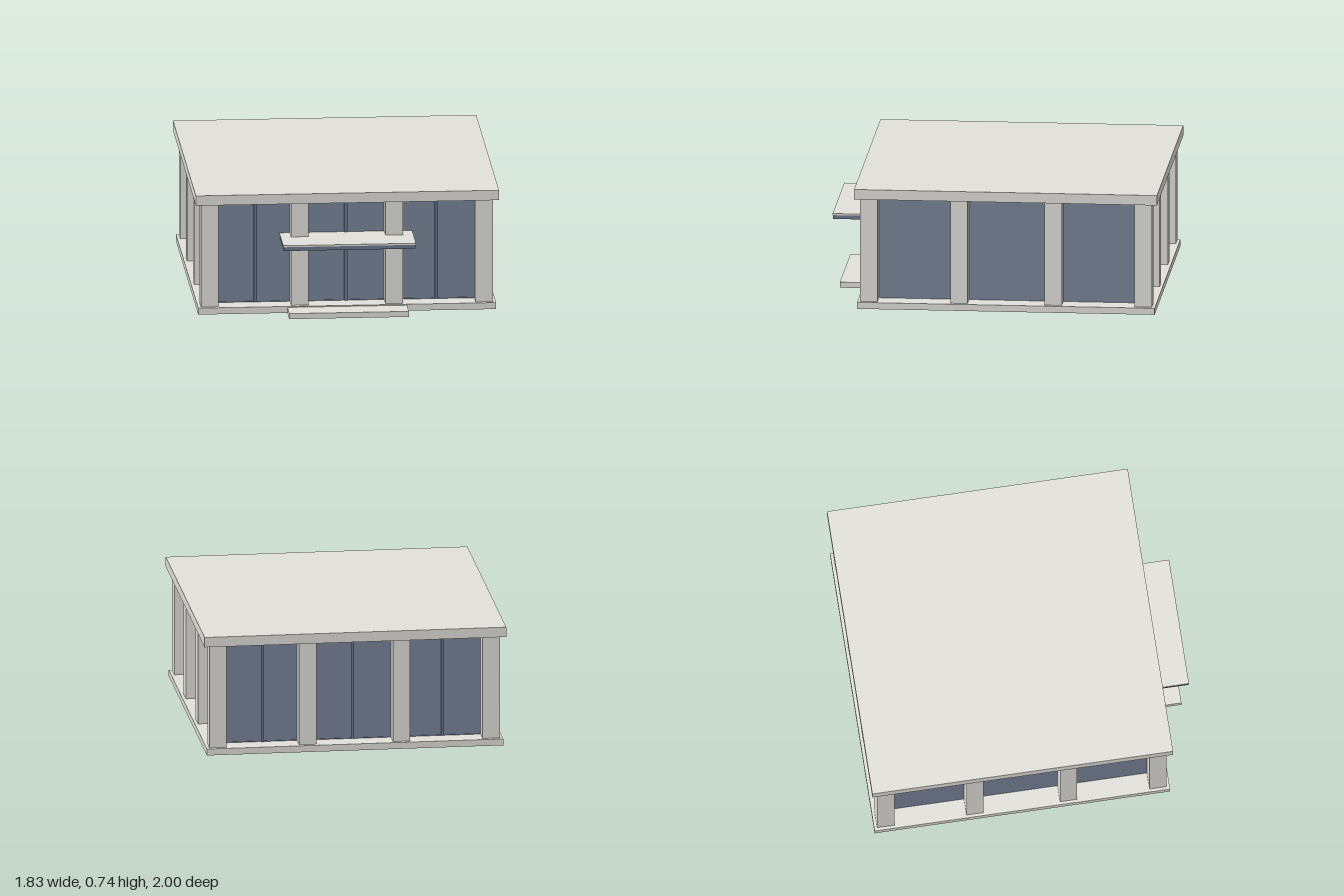
import * as THREE from 'three';

const concrete = new THREE.MeshStandardMaterial({ name: 'concrete', color: 0xe2e0da, side: THREE.DoubleSide });
const glass = new THREE.MeshStandardMaterial({ name: 'blue grey glass', color: 0x788498 });
const frame = new THREE.MeshStandardMaterial({ name: 'window frame', color: 0x6c788c });

// Box given by its [min, max] extent on each axis
function box(name, material, x, y, z) {
  const mesh = new THREE.Mesh(
    new THREE.BoxGeometry(x[1] - x[0], y[1] - y[0], z[1] - z[0]), material);
  mesh.position.set((x[0] + x[1]) / 2, (y[0] + y[1]) / 2, (z[0] + z[1]) / 2);
  mesh.name = name;
  return mesh;
}

// Concrete box left open underneath: the fourth face of a box is its bottom
function openSlab(name, x, y, z) {
  const mesh = box(name, concrete, x, y, z);
  const index = Array.from(mesh.geometry.index.array);
  index.splice(18, 6);
  mesh.geometry.setIndex(index);
  mesh.geometry.clearGroups();
  return mesh;
}

export function createModel() {
  const model = new THREE.Group();
  model.name = 'pavilion';

  // Square main building, set back to leave room for the entrance
  const building = new THREE.Group();
  building.name = 'building';
  building.position.z = -0.087;
  model.add(building);
  const floorY = 0.04, ceilingY = 0.679, wall = 0.775;
  const standing = [floorY + 0.002, ceilingY];

  building.add(openSlab('floorSlab', [-0.897, 0.897], [0, floorY], [-0.897, 0.897]));
  building.add(box('roofSlab', concrete, [-0.913, 0.913], [ceilingY, 0.74], [-0.913, 0.913]));
  building.add(box('glassWalls', glass, [-wall, wall], standing, [-wall, wall]));

  // Columns around the perimeter, four to a side
  const grid = [-0.827, -0.284, 0.284, 0.827], half = 0.052;
  grid.forEach((x, i) => grid.forEach((z, j) => {
    const inside = i % 3 !== 0 && j % 3 !== 0;
    if (inside) return;
    building.add(box('column', concrete, [x - half, x + half], standing, [z - half, z + half]));
  }));

  // Mullions and bottom rails on the front and back
  for (const side of [-1, 1]) {
    const z = side * wall;
    for (const x of [-0.545, 0, 0.545]) {
      building.add(box('mullion', frame, [x - 0.009, x + 0.009], standing, [z - 0.01, z + 0.01]));
    }
    building.add(box('bottomRail', frame,
      [-wall, wall], [standing[0], floorY + 0.006], [z - 0.004, z + 0.004]));
  }

  // Entrance step and canopy
  model.add(openSlab('entranceStep', [-0.36, 0.36], [0, 0.034], [0.75, 0.96]));
  model.add(box('canopyTop', concrete, [-0.4, 0.4], [0.456, 0.466], [0.685, 1]));
  model.add(box('canopyFrame', frame, [-0.396, 0.396], [0.432, 0.456], [0.685, 0.997]));

  return model;
}
